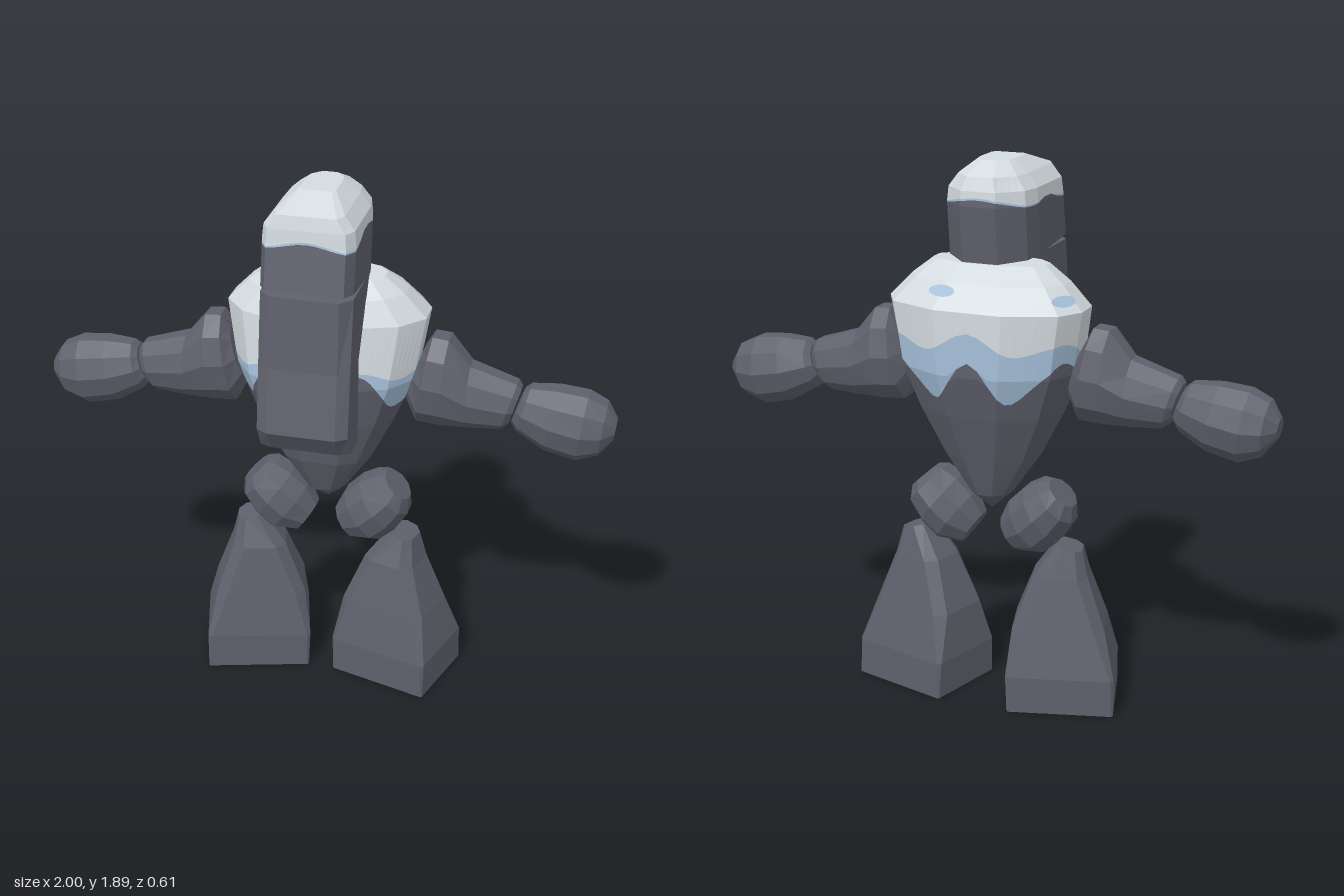
import * as THREE from 'three';

const V = (x, y, z) => new THREE.Vector3(x, y, z);

// Flat-faceted skin over equal-length rings, optionally closed at either end
function loft(rings, capStart = true, capEnd = true) {
  const tris = [];
  const n = rings[0].length;
  const push = (a, b, c) => {
    const area = b.clone().sub(a).cross(c.clone().sub(a)).length();
    if (area > 1e-8) tris.push([a, b, c]);
  };
  const mid = (pts) => pts.reduce((s, p) => s.add(p), V(0, 0, 0)).divideScalar(pts.length);
  for (let k = 0; k + 1 < rings.length; k++) {
    for (let i = 0; i < n; i++) {
      const j = (i + 1) % n;
      push(rings[k][i], rings[k][j], rings[k + 1][j]);
      push(rings[k][i], rings[k + 1][j], rings[k + 1][i]);
    }
  }
  const cap = (ring, flip) => {
    const c = mid(ring);
    ring.forEach((p, i) => {
      const q = ring[(i + 1) % n];
      if (flip) push(c, q, p); else push(c, p, q);
    });
  };
  if (capStart) cap(rings[0], true);
  if (capEnd) cap(rings[rings.length - 1], false);
  // Turn the skin outward
  const centre = mid(rings.flat());
  let volume = 0;
  for (const [a, b, c] of tris) {
    volume += a.clone().sub(centre).dot(b.clone().sub(centre).cross(c.clone().sub(centre)));
  }
  const pts = tris.flatMap(([a, b, c]) => (volume < 0 ? [a, c, b] : [a, b, c]));
  const g = new THREE.BufferGeometry().setFromPoints(pts);
  g.computeVertexNormals();
  return g;
}

// Mirror-symmetric ring from a half outline (front to back), fitted to a width and depth
function ring(half, y, hw, zb, zf, tilt = 0, sub = 1) {
  const outline = [...half, ...half.map(([u, w]) => [-u, w]).reverse()];
  const pts = [];
  outline.forEach(([u, w], i) => {
    const [u2, w2] = outline[(i + 1) % outline.length];
    for (let s = 0; s < sub; s++) {
      const t = s / sub;
      const z = (zb + zf) / 2 + (w + (w2 - w) * t) * (zf - zb) / 2;
      pts.push(V((u + (u2 - u) * t) * hw, y + tilt * z, z));
    }
  });
  return pts;
}

// Point on column i of a ring stack at height y
function atHeight(rings, i, y) {
  if (y <= rings[0][i].y) return rings[0][i].clone();
  for (let k = 0; k + 1 < rings.length; k++) {
    const a = rings[k][i], b = rings[k + 1][i];
    if (y <= b.y) return a.clone().lerp(b, (y - a.y) / (b.y - a.y));
  }
  return rings[rings.length - 1][i].clone();
}

// Part of a ring stack between two height curves given by angle around the body
function band(rings, low, high, capStart, capEnd) {
  const ref = rings[Math.floor(rings.length / 2)];
  const zc = ref.reduce((s, p) => s + p.z, 0) / ref.length;
  const cut = rings.map((r) => r.map((p, i) => {
    const a = Math.atan2(ref[i].x, ref[i].z - zc);
    return atHeight(rings, i, Math.min(Math.max(p.y, low(a)), high(a)));
  }));
  return loft(cut, capStart, capEnd);
}

// Rounded limb through sections [topX, topY, bottomX, bottomY, depthRadius]
function limb(sections, zc, sides = 10) {
  return loft(sections.map(([xt, yt, xb, yb, rz]) => Array.from({ length: sides }, (_, i) => {
    const a = ((i + 0.5) / sides) * Math.PI * 2;
    const c = Math.cos(a) / Math.cos(Math.PI / sides);
    return V((xt + xb) / 2 + c * (xt - xb) / 2, (yt + yb) / 2 + c * (yt - yb) / 2, zc + Math.sin(a) * rz);
  })));
}

function mirrored(g) {
  const m = g.clone();
  const p = m.attributes.position;
  for (let i = 0; i < p.count; i += 3) {
    const t = [0, 2, 1].map((o) => V(-g.attributes.position.getX(i + o),
      g.attributes.position.getY(i + o), g.attributes.position.getZ(i + o)));
    t.forEach((v, o) => p.setXYZ(i + o, v.x, v.y, v.z));
  }
  m.computeVertexNormals();
  return m;
}

export function createModel() {
  const model = new THREE.Group();
  const material = (name, color) => {
    const m = new THREE.MeshStandardMaterial({ color });
    m.name = name;
    return m;
  };
  const stone = material('stone', 0x5f606c);
  const snow = material('snow', 0xd3dbdf);
  const ice = material('ice', 0xa4bfda);
  const add = (name, g, m) => {
    const mesh = new THREE.Mesh(g, m);
    mesh.name = name;
    model.add(mesh);
    return mesh;
  };
  const pair = (name, g) => {
    add(name + 'Left', g, stone);
    add(name + 'Right', mirrored(g), stone);
  };
  const bottom = () => -1, top = () => 9;

  // Torso: a boulder tapering to a point, snow on the shoulders with an icy wavy rim
  const torsoHalf = [[0.4, 1], [0.78, 0.75], [1, 0.3], [1, -0.2], [0.85, -0.65], [0.35, -1]];
  const torso = [
    [0.68, 0.005, -0.085, -0.075], [0.74, 0.07, -0.15, 0], [0.88, 0.165, -0.2, 0.06],
    [1.05, 0.25, -0.26, 0.1], [1.2, 0.31, -0.3, 0.12], [1.42, 0.345, -0.3, 0.085],
    [1.5, 0.27, -0.24, 0.05], [1.555, 0.2, -0.17, 0],
  ].map(([y, hw, zb, zf]) => ring(torsoHalf, y, hw, zb, zf, 0, 6));
  const iceLow = (a) => 1.18 - 0.07 * Math.cos(5 * a);
  const iceHigh = (a) => 1.27 - 0.05 * Math.cos(a) - 0.03 * Math.cos(5 * a);
  add('torsoStone', band(torso, bottom, iceLow, true, false), stone);
  add('torsoIce', band(torso, iceLow, iceHigh, false, false), ice);
  add('torsoSnow', band(torso, iceHigh, top, false, true), snow);

  // Small ice patches lying on the shoulder snow
  for (const [x, z, y] of [[0.1, -0.24, 1.475], [-0.29, -0.17, 1.455]]) {
    let best = 0;
    torso[0].forEach((_, i) => {
      const d = (k) => { const p = atHeight(torso, k, y); return Math.hypot(p.x - x, p.z - z); };
      if (d(i) < d(best)) best = i;
    });
    const n = torso[0].length;
    const p = atHeight(torso, best, y);
    const up = atHeight(torso, best, y + 0.015).sub(p);
    const along = atHeight(torso, (best + 1) % n, y).sub(atHeight(torso, (best + n - 1) % n, y));
    const normal = along.cross(up).normalize();
    if (normal.y < 0) normal.negate();
    const patch = add('icePatch', new THREE.CircleGeometry(0.05, 10).scale(1, 0.45, 1), ice);
    patch.position.copy(p).addScaledVector(normal, 0.005);
    patch.lookAt(p.clone().add(normal));
  }

  // Head: stone block with a snow cap and a thin icy edge
  const headHalf = [[0.4, 1], [0.85, 1], [1, 0.8], [1, -0.3], [0.9, -0.65], [0.4, -1]];
  const head = [
    [1.578, 0.155, -0.185, 0.25, 0.09], [1.75, 0.155, -0.205, 0.22, 0], [1.8, 0.15, -0.2, 0.215, 0],
    [1.845, 0.115, -0.185, 0.205, 0], [1.888, 0.06, -0.1, 0.08, 0],
  ].map(([y, hw, zb, zf, tilt]) => ring(headHalf, y, hw, zb, zf, tilt, 4));
  const capLow = (a) => 1.752 - 0.008 * Math.cos(a) + 0.012 * Math.cos(4 * a);
  const capHigh = (a) => capLow(a) + 0.007 * Math.abs(Math.cos(a));
  add('headStone', band(head, bottom, capLow, true, false), stone);
  add('headIce', band(head, capLow, capHigh, false, false), ice);
  add('headSnow', band(head, capHigh, top, false, true), snow);

  // Long slab hanging below the face
  const slabHalf = [[0.75, 1], [1, 0.7], [1, -1]];
  add('beardSlab', loft([
    [1.03, 0.155, 0.14, 0.25], [1.11, 0.155, 0.13, 0.305],
    [1.33, 0.155, 0.13, 0.268], [1.58, 0.155, -0.02, 0.25],
  ].map(([y, hw, zb, zf]) => ring(slabHalf, y, hw, zb, zf))), stone);

  // Arms
  pair('upperArm', limb([
    [0.34, 1.31, 0.28, 1.12, 0.07], [0.37, 1.36, 0.32, 1.04, 0.11], [0.425, 1.355, 0.4, 1.035, 0.115],
    [0.5, 1.265, 0.5, 1.035, 0.1], [0.66, 1.215, 0.61, 1.04, 0.08], [0.675, 1.195, 0.635, 1.06, 0.065],
  ], -0.07));
  pair('forearm', limb([
    [0.685, 1.19, 0.645, 1.07, 0.06], [0.705, 1.205, 0.665, 1.04, 0.08], [0.8, 1.21, 0.76, 0.985, 0.105],
    [0.9, 1.2, 0.87, 0.96, 0.11], [0.965, 1.17, 0.945, 0.985, 0.09], [1.0, 1.115, 0.993, 1.045, 0.045],
  ], -0.07));

  // Legs: a rounded thigh boulder above a flared, slightly turned-out foot block
  pair('thigh', limb([
    [0.035, 0.645, 0.11, 0.535, 0.07], [0.07, 0.715, 0.2, 0.545, 0.11], [0.125, 0.77, 0.255, 0.595, 0.12],
    [0.18, 0.8, 0.3, 0.665, 0.11], [0.215, 0.8, 0.3, 0.72, 0.07],
  ], -0.07));
  const turn = 0.276;
  pair('foot', loft([
    [0, 0.265, 0.185, 0.155, 0.005], [0.13, 0.262, 0.188, 0.155, 0.012], [0.29, 0.252, 0.16, 0.125, 0.035],
    [0.47, 0.255, 0.095, 0.09, 0.035], [0.575, 0.285, 0.045, 0.058, 0.025],
  ].map(([y, cx, hw, hd, c]) => {
    const half = [[hw - c, hd], [hw, hd - c], [hw, c - hd], [hw - c, -hd]];
    return [...half, ...half.map(([x, z]) => [-x, -z])].map(([x, z]) => V(
      cx + x * Math.cos(turn) - z * Math.sin(turn), y + (y > 0.5 ? -0.25 * x : 0),
      -0.07 + x * Math.sin(turn) + z * Math.cos(turn)));
  })));

  return model;
}
